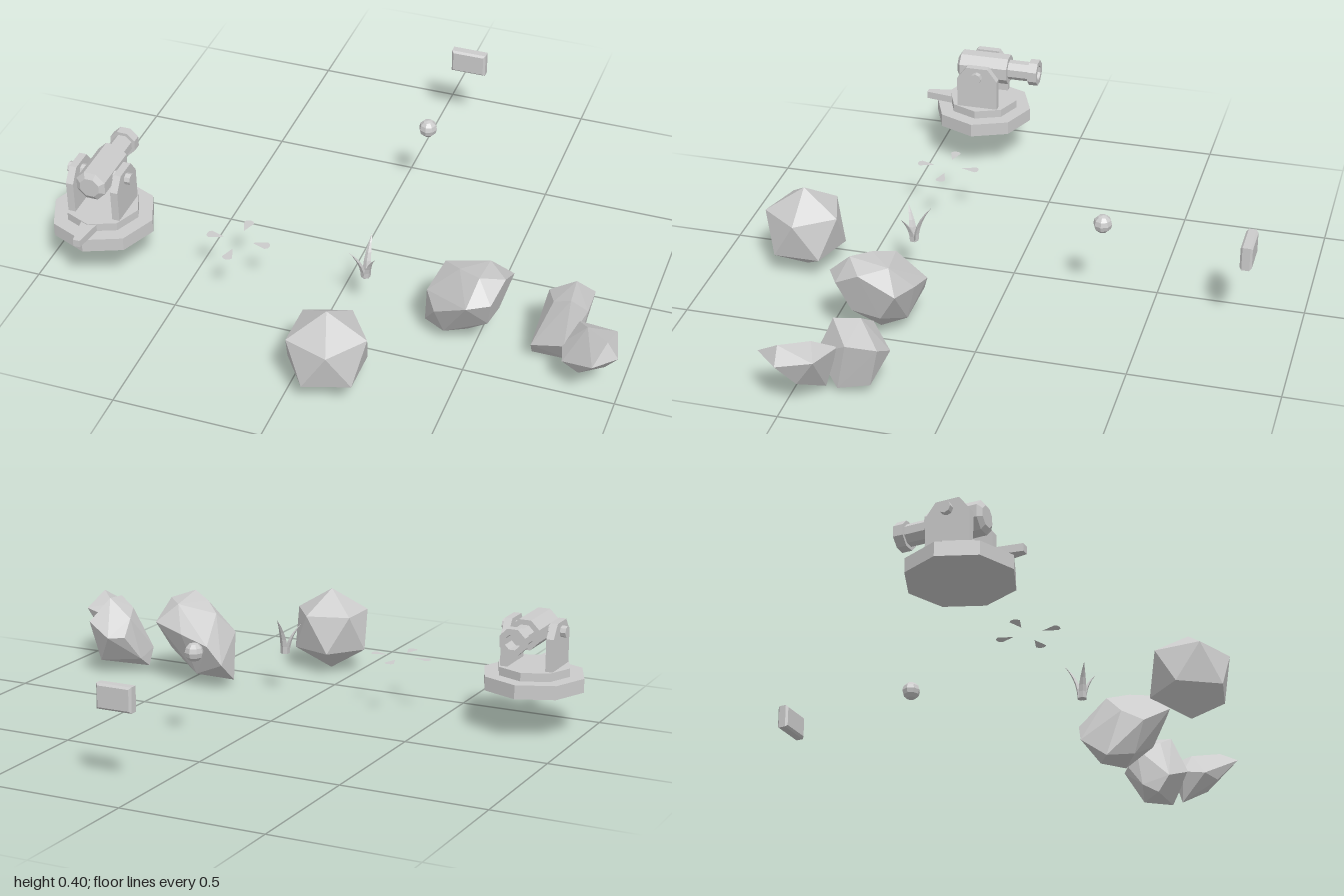
import * as THREE from 'three';
import { ConvexGeometry } from 'three/addons/geometries/ConvexGeometry.js';

const mat = new THREE.MeshStandardMaterial({ color: 0xcccccc, flatShading: true });
const thin = new THREE.MeshStandardMaterial({ color: 0xcccccc, flatShading: true, side: THREE.DoubleSide });

function add(parent, name, geometry, x = 0, y = 0, z = 0, material = mat) {
  const mesh = new THREE.Mesh(geometry, material);
  mesh.name = name;
  mesh.position.set(x, y, z);
  parent.add(mesh);
  return mesh;
}

const shapeOf = pts => new THREE.Shape(pts.map(p => new THREE.Vector2(...p)));
const flatExtrude = (pts, depth) => new THREE.ExtrudeGeometry(shapeOf(pts), { depth, bevelEnabled: false });

function makeCannon() {
  const g = new THREE.Group();
  g.name = 'cannon';
  // Two-step octagonal base
  add(g, 'baseLower', new THREE.CylinderGeometry(0.178, 0.178, 0.048, 8), 0, 0.176, 0);
  add(g, 'baseUpper', new THREE.CylinderGeometry(0.127, 0.127, 0.03, 8), 0, 0.214, 0);
  // Tapered trail pointing to the front
  const trail = flatExtrude([[-0.03, -0.1], [-0.012, -0.215], [0.012, -0.215], [0.03, -0.1]], 0.026);
  trail.rotateX(-Math.PI / 2);
  add(g, 'trail', trail, 0, 0.2, 0);
  // Side brackets and trunnion caps
  for (const s of [-1, 1]) {
    const plate = flatExtrude([[-0.075, 0.225], [0.075, 0.225], [0.075, 0.34], [0.04, 0.387],
      [-0.04, 0.387], [-0.075, 0.34]], 0.026);
    plate.translate(0, 0, -0.013);
    plate.rotateY(Math.PI / 2);
    add(g, 'bracket', plate, s * 0.08, 0, 0);
    const cap = new THREE.CylinderGeometry(0.02, 0.02, 0.066, 8);
    cap.rotateZ(Math.PI / 2);
    add(g, 'trunnion', cap, s * 0.08, 0.353, 0);
  }
  // Barrel from breech to hollow muzzle
  const profile = [[0, -0.09], [0.036, -0.09], [0.055, -0.078], [0.055, 0.1], [0.036, 0.1], [0.036, 0.178],
    [0.048, 0.178], [0.048, 0.211], [0.027, 0.211], [0.027, 0.15], [0, 0.15]];
  const barrel = new THREE.LatheGeometry(profile.map(p => new THREE.Vector2(...p)), 8, Math.PI / 8);
  barrel.rotateX(-Math.PI / 2);
  add(g, 'barrel', barrel, 0, 0.353, 0);
  g.position.set(-0.821, 0, 0.331);
  return g;
}

function makePetals() {
  const g = new THREE.Group();
  g.name = 'flashPetals';
  const petal = new THREE.ShapeGeometry(shapeOf([[0.05, 0], [0.1, -0.018], [0.109, -0.011],
    [0.112, 0], [0.109, 0.011], [0.1, 0.018]]));
  petal.rotateX(-Math.PI / 2);
  for (let i = 0; i < 4; i++) add(g, 'petal', petal, 0, 0, 0, thin).rotation.y = i * Math.PI / 2;
  g.position.set(-0.335, 0.193, 0.329);
  return g;
}

// A flattened cone bent outwards along +x
function bladeGeometry(height, lean) {
  const geo = new THREE.ConeGeometry(0.014, height, 4, 5);
  const p = geo.attributes.position;
  for (let i = 0; i < p.count; i++) {
    const t = p.getY(i) / height + 0.5;
    const swell = 1 + 1.1 * t;
    p.setXYZ(i, p.getX(i) * 0.6 * swell + 0.008 + lean * t * t, t * height, p.getZ(i) * swell);
  }
  return geo;
}

function makeTuft() {
  const g = new THREE.Group();
  g.name = 'grassTuft';
  [[90, 0.135, 0.056], [212, 0.11, 0.052], [322, 0.1, 0.046]].forEach(([deg, h, lean]) => {
    add(g, 'blade', bladeGeometry(h, lean)).rotation.y = deg * Math.PI / 180;
  });
  g.position.set(0.11, 0.15, 0.322);
  return g;
}

// Icosahedron standing on a vertex, one upper ring corner towards +x
function makeBoulder() {
  const r = 0.15, pts = [new THREE.Vector3(0, r, 0), new THREE.Vector3(0, -r, 0)];
  for (let i = 0; i < 10; i++) {
    const a = i * Math.PI / 5;
    pts.push(new THREE.Vector3(Math.cos(a) * r * 0.894, (i % 2 ? -1 : 1) * r * 0.447, Math.sin(a) * r * 0.894));
  }
  return new ConvexGeometry(pts);
}

const rock = pts => new ConvexGeometry(pts.map(p => new THREE.Vector3(...p)));

export function createModel() {
  const model = new THREE.Group();
  model.name = 'cannonAndProps';
  model.add(makeCannon(), makePetals(), makeTuft());
  add(model, 'roundBoulder', makeBoulder(), 0.114, 0.152, 0.707);

  // Large faceted rock
  add(model, 'largeRock', rock([
    [0.375, 0.267, 0.3], [0.44, 0.295, 0.36], [0.52, 0.315, 0.41], [0.593, 0.29, 0.36], [0.59, 0.225, 0.24],
    [0.56, 0.12, 0.3], [0.465, 0.03, 0.33], [0.315, 0.025, 0.32], [0.315, 0.1, 0.225], [0.36, 0.17, 0.2],
    [0.47, 0.2, 0.21], [0.57, 0.24, 0.445], [0.5, 0.24, 0.487], [0.38, 0.16, 0.435], [0.335, 0.19, 0.37],
    [0.55, 0.13, 0.4], [0.43, 0.05, 0.25], [0.4, 0.05, 0.39], [0.52, 0.29, 0.28]]));

  // Pair of joined rocks
  const pair = new THREE.Group();
  pair.name = 'rockPair';
  add(pair, 'rearRock', rock([
    [0.805, 0.28, 0.28], [0.81, 0.27, 0.37], [0.715, 0.215, 0.27], [0.69, 0.06, 0.3], [0.69, 0.02, 0.36],
    [0.83, 0.02, 0.36], [0.77, 0.15, 0.2], [0.855, 0.2, 0.215], [0.72, 0.15, 0.235], [0.857, 0.2, 0.32],
    [0.81, 0.13, 0.43], [0.695, 0.08, 0.4], [0.83, 0.05, 0.25], [0.75, 0.235, 0.35]]));
  add(pair, 'frontRock', rock([
    [0.963, 0.245, 0.5], [1, 0.187, 0.5], [0.935, 0.195, 0.577], [0.97, 0.2, 0.385], [0.835, 0.18, 0.35],
    [0.8, 0.13, 0.415], [0.82, 0.12, 0.49], [0.95, 0.1, 0.45], [0.834, 0.025, 0.395], [0.88, 0.11, 0.515],
    [0.88, 0.22, 0.42]]));
  model.add(pair);

  // Small shot and bevelled plate
  add(model, 'shot', new THREE.SphereGeometry(0.032, 8, 6), 0.112, 0.313, -0.33);
  const b = 0.007, w = 0.063 - b, h = 0.042 - b;
  const slab = new THREE.ExtrudeGeometry(shapeOf([[-w, -h], [w, -h], [w, h], [-w, h]]),
    { depth: 0.026, bevelThickness: b, bevelSize: b, bevelSegments: 1 });
  slab.translate(0, 0, -0.013);
  add(model, 'slab', slab, 0.114, 0.288, -0.817);
  return model;
}
